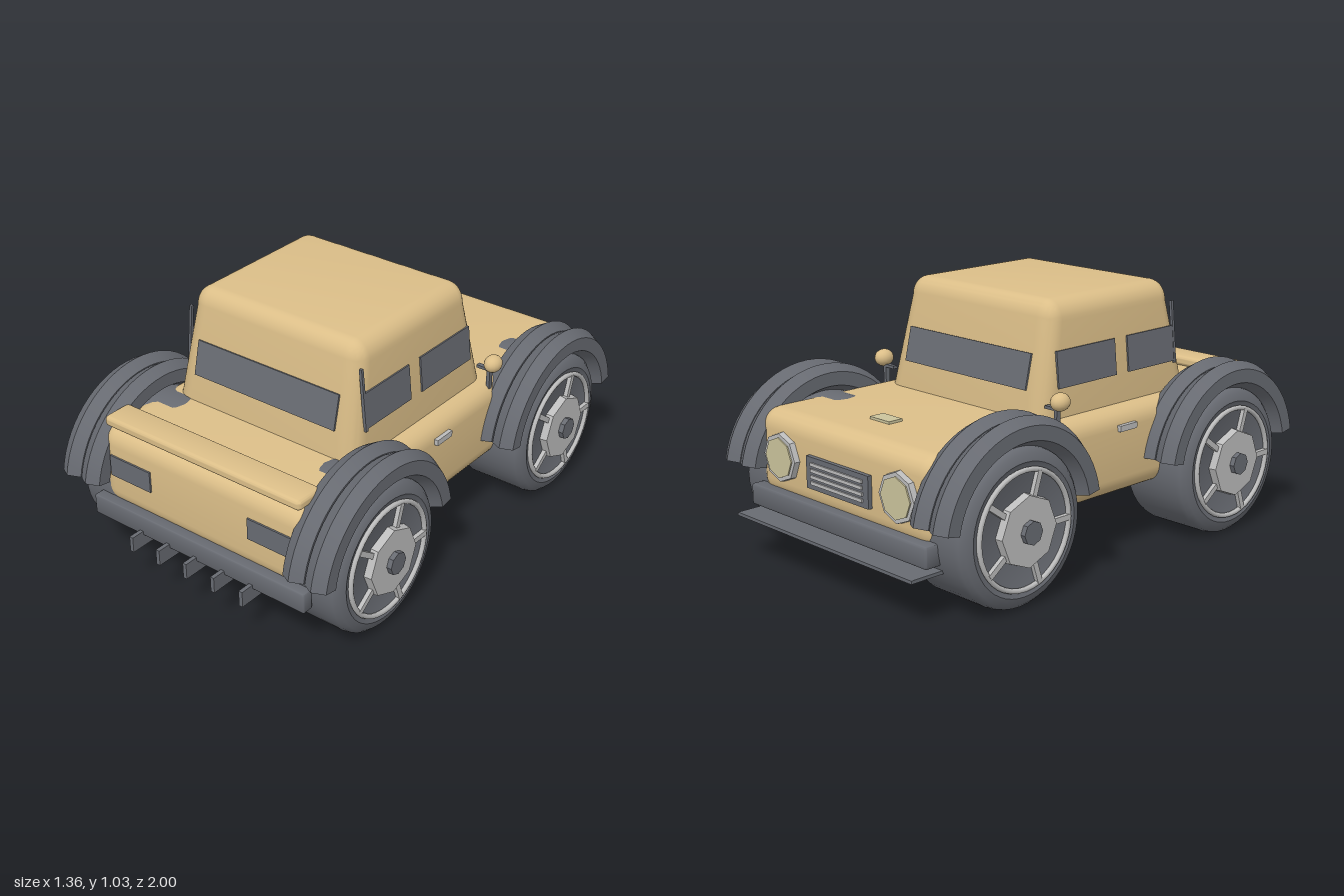
import * as THREE from 'three';
import { toCreasedNormals } from 'three/addons/utils/BufferGeometryUtils.js';
import { RoundedBoxGeometry } from 'three/addons/geometries/RoundedBoxGeometry.js';

const material = (name, color) => {
  const m = new THREE.MeshStandardMaterial({ color });
  m.name = name;
  return m;
};

export function createModel() {
  const tan = material('tan paint', 0xdbbe88);
  const dark = material('dark grey', 0x686b72);
  const silver = material('light grey metal', 0xbcbcbc);
  const lens = material('pale lens', 0xcbc39c);
  const model = new THREE.Group();
  model.name = 'offRoadTruck';

  const add = (parent, name, geometry, mat, x = 0, y = 0, z = 0) => {
    const mesh = new THREE.Mesh(geometry, mat);
    mesh.name = name;
    mesh.position.set(x, y, z);
    parent.add(mesh);
    return mesh;
  };
  const box = (name, w, h, d, mat, x, y, z, parent = model) =>
    add(parent, name, new THREE.BoxGeometry(w, h, d), mat, x, y, z);
  const rounded = (w, h, d, r) => toCreasedNormals(new RoundedBoxGeometry(w, h, d, 4, r), 0.6);

  // Lower body and the lip across its +z end
  add(model, 'body', rounded(1.02, 0.348, 1.8, 0.075), tan, 0, 0.424, 0.005);
  add(model, 'deckLip', rounded(0.95, 0.045, 0.13, 0.02), tan, 0, 0.618, 0.835);

  // Cab: rounded box narrowing towards the roof
  const cab = new RoundedBoxGeometry(0.88, 0.535, 0.864, 5, 0.08);
  const p = cab.attributes.position;
  for (let i = 0; i < p.count; i++) {
    const y = p.getY(i) + 0.7675;
    const t = THREE.MathUtils.clamp((y - 0.58) / 0.375, 0, 1);
    p.setXYZ(i, p.getX(i) * (1 - 0.08 * t), y, p.getZ(i) * (1 - 0.2 * t) + 0.127);
  }
  add(model, 'cab', toCreasedNormals(cab, 0.6), tan);

  // Windows lie on the sloping cab walls
  const slope = (y) => (y - 0.58) / 0.375;
  const wy = 0.77;
  const back = box('deckWindow', 0.68, 0.14, 0.009, dark, 0, wy, 0.559 - 0.086 * slope(wy) + 0.003);
  back.rotation.x = -0.226;
  const wind = box('windscreen', 0.68, 0.14, 0.009, dark, 0, wy, -0.305 + 0.086 * slope(wy) - 0.003);
  wind.rotation.x = 0.226;
  for (const s of [-1, 1]) {
    const sideX = (y) => s * (0.44 - 0.035 * slope(y) + 0.002);
    for (const [z, d] of [[0.33, 0.28], [-0.04, 0.32]]) {
      box('sideWindow', 0.009, 0.142, d, dark, sideX(0.78), 0.78, z).rotation.z = s * 0.094;
    }
    box('windowPost', 0.012, 0.25, 0.012, dark, sideX(0.825), 0.825, 0.465).rotation.z = s * 0.094;

    // Door handle
    box('doorHandle', 0.02, 0.024, 0.095, silver, s * 0.515, 0.525, 0.093);

    // Mirror on its stalk
    const head = add(model, 'mirror', new THREE.SphereGeometry(0.035, 16, 12), tan, s * 0.5, 0.685, -0.262);
    head.scale.z = 1.2;
    box('mirrorStalk', 0.015, 0.1, 0.02, dark, s * 0.485, 0.62, -0.262);
    box('mirrorArm', 0.06, 0.012, 0.02, dark, s * 0.46, 0.655, -0.262);

    // Tail light
    box('tailLight', 0.205, 0.088, 0.012, dark, s * 0.342, 0.439, 0.906);

    // Headlight: octagonal rim with a pale lens
    const rim = new THREE.CylinderGeometry(0.095, 0.1, 0.035, 8);
    add(model, 'headlightRim', toCreasedNormals(rim.rotateX(-Math.PI / 2), 0.5), silver, s * 0.34, 0.43, -0.9);
    const glass = new THREE.CylinderGeometry(0.08, 0.08, 0.008, 8);
    add(model, 'headlightLens', toCreasedNormals(glass.rotateX(-Math.PI / 2), 0.5), lens, s * 0.34, 0.43, -0.919);
  }

  // Grille with horizontal bars
  box('grilleFrame', 0.36, 0.125, 0.025, dark, 0, 0.41, -0.9);
  for (let i = 0; i < 4; i++) {
    box('grilleBar', 0.3, 0.013, 0.01, silver, 0, 0.374 + i * 0.024, -0.914);
  }
  box('hoodPlate', 0.11, 0.012, 0.065, lens, 0, 0.602, -0.673);

  // Bumpers, step plate and fins
  add(model, 'rearBumper', rounded(1.04, 0.085, 0.05, 0.008), dark, 0, 0.248, 0.915);
  add(model, 'frontBumper', rounded(1.02, 0.085, 0.075, 0.01), dark, 0, 0.252, -0.895);
  box('stepPlate', 1.02, 0.013, 0.17, dark, 0, 0.185, -0.915);
  box('stepBracket', 0.6, 0.04, 0.03, dark, 0, 0.207, -0.87);
  for (let i = -2; i <= 2; i++) {
    box('fin', 0.017, 0.065, 0.12, dark, i * 0.1365, 0.193, 0.937);
  }

  // Wheel parts, with the axle along x
  const alongX = (g) => toCreasedNormals(g.rotateZ(-Math.PI / 2), 0.6);
  const profile = [[0, 0.32], [0.25, 0.32], [0.28, 0.325], [0.295, 0.337], [0.301, 0.36], [0.301, 0.59],
    [0.296, 0.61], [0.28, 0.627], [0.25, 0.637], [0.235, 0.63], [0, 0.63]]
    .map(([r, x]) => new THREE.Vector2(r, x));
  const tyre = alongX(new THREE.LatheGeometry(profile, 48));
  const hub = alongX(new THREE.CylinderGeometry(0.135, 0.14, 0.035, 8));
  const nut = alongX(new THREE.CylinderGeometry(0.045, 0.045, 0.04, 8));
  const ring = new THREE.TorusGeometry(0.222, 0.01, 8, 40).rotateY(Math.PI / 2);

  // Mudguards: two six-sided arches side by side, closed at the ends
  const START = 0.18, ARC = Math.PI - 2 * START, R = 0.353, TUBE = 0.055;
  const arch = toCreasedNormals(
    new THREE.TorusGeometry(R, TUBE, 6, 28, ARC).rotateZ(START).rotateY(Math.PI / 2), 0.5);
  const capFor = (angle, flip) => new THREE.CircleGeometry(TUBE, 6)
    .rotateX(flip ? -Math.PI / 2 : Math.PI / 2)
    .translate(R, 0, 0).rotateZ(angle).rotateY(Math.PI / 2);
  const caps = [capFor(START, false), capFor(START + ARC, true)];

  for (const z of [0.597, -0.578]) {
    for (const s of [-1, 1]) {
      const wheel = new THREE.Group();
      wheel.name = 'wheel';
      wheel.position.set(0, 0.302, z);
      if (s < 0) wheel.rotation.y = Math.PI;
      model.add(wheel);
      add(wheel, 'tyre', tyre, dark);
      add(wheel, 'wheelRing', ring, silver, 0.636);
      add(wheel, 'hub', hub, silver, 0.643);
      add(wheel, 'hubNut', nut, dark, 0.661);
      for (let i = 0; i < 5; i++) {
        const a = (i * 2 * Math.PI) / 5;
        const spoke = box('spoke', 0.024, 0.022, 0.1, silver, 0.635,
          0.17 * Math.sin(a), -0.17 * Math.cos(a), wheel);
        spoke.rotation.x = a;
      }
      for (const x of [0.5, 0.6]) {
        add(wheel, 'mudguard', arch, dark, x);
        caps.forEach((c) => add(wheel, 'mudguardEnd', c, dark, x));
      }
    }
  }
  return model;
}
